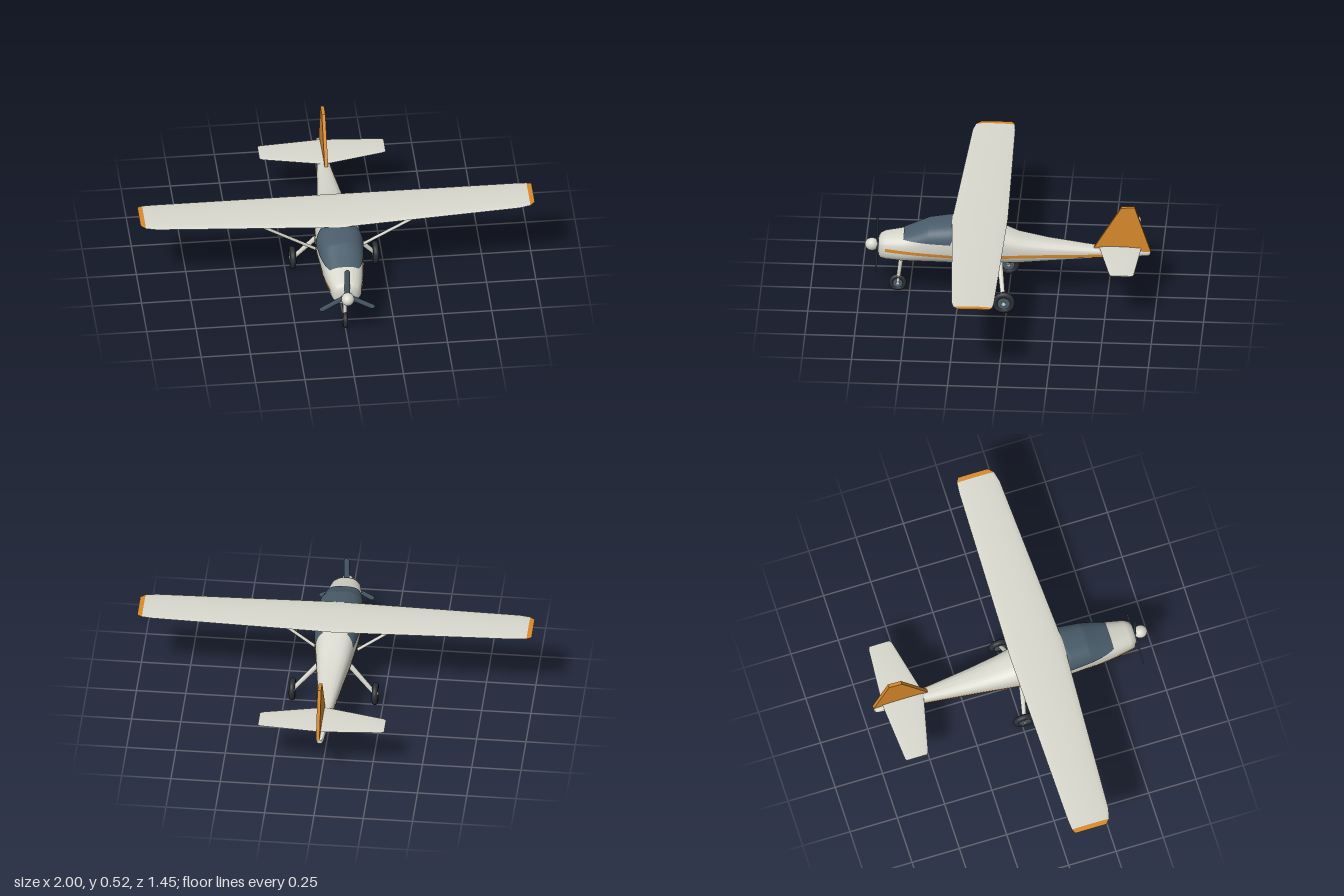
import * as THREE from 'three';
import { toCreasedNormals } from 'three/addons/utils/BufferGeometryUtils.js';

const material = (name, color, side = THREE.FrontSide) => {
  const m = new THREE.MeshStandardMaterial({ color, side });
  m.name = name;
  return m;
};
const lerp = THREE.MathUtils.lerp;

// Fuselage stations from tail to nose: z, bottom, top, half width
const STATIONS = [
  [-0.718, 0.248, 0.268, 0.013], [-0.705, 0.239, 0.275, 0.018], [-0.44, 0.224, 0.284, 0.037],
  [-0.2, 0.207, 0.314, 0.064], [-0.05, 0.196, 0.342, 0.084], [0.06, 0.193, 0.388, 0.1],
  [0.17, 0.193, 0.41, 0.112], [0.29, 0.193, 0.415, 0.117], [0.4, 0.193, 0.398, 0.108],
  [0.46, 0.193, 0.37, 0.102], [0.53, 0.193, 0.34, 0.093], [0.62, 0.196, 0.325, 0.077],
  [0.645, 0.2, 0.316, 0.064], [0.656, 0.21, 0.3, 0.045],
];
const POWER = 2.7;

function sectionAt(z) {
  let i = 0;
  while (i < STATIONS.length - 2 && z > STATIONS[i + 1][0]) i++;
  const a = STATIONS[i], b = STATIONS[i + 1], t = (z - a[0]) / (b[0] - a[0]);
  const bottom = lerp(a[1], b[1], t), top = lerp(a[2], b[2], t);
  return { mid: (bottom + top) / 2, h: (top - bottom) / 2, w: lerp(a[3], b[3], t) };
}

const bulge = (v) => Math.sign(v) * Math.abs(v) ** (2 / POWER);

function hullPoint(z, angle, lift = 0) {
  const s = sectionAt(z);
  return [(s.w + lift) * bulge(Math.cos(angle)), s.mid + (s.h + lift) * bulge(Math.sin(angle)), z];
}

function hullAngle(z, y) {
  const s = sectionAt(z), t = THREE.MathUtils.clamp((y - s.mid) / s.h, -1, 1);
  return Math.asin(Math.sign(t) * Math.abs(t) ** (POWER / 2));
}

function buildGeometry(points, index) {
  const g = new THREE.BufferGeometry();
  g.setAttribute('position', new THREE.Float32BufferAttribute(points.flat(), 3));
  g.setIndex(index);
  g.computeVertexNormals();
  return g;
}

// Closed skin through equal rings, capped at both ends
function loft(rings, crease = 0.6) {
  const n = rings[0].length, points = rings.flat(), index = [];
  for (let i = 0; i < rings.length - 1; i++) {
    for (let j = 0; j < n; j++) {
      const a = i * n + j, b = i * n + (j + 1) % n;
      index.push(a, b, b + n, a, b + n, a + n);
    }
  }
  [[0, true], [rings.length - 1, false]].forEach(([r, flip]) => {
    const center = points.length;
    points.push([0, 1, 2].map((k) => rings[r].reduce((sum, p) => sum + p[k], 0) / n));
    for (let j = 0; j < n; j++) {
      const a = r * n + j, b = r * n + (j + 1) % n;
      index.push(center, flip ? b : a, flip ? a : b);
    }
  });
  return toCreasedNormals(buildGeometry(points, index), crease);
}

// Thin panel lying on the hull; fn(u, v) returns [z, angle]
function hullPanel(fn, nu, nv) {
  const points = [], index = [];
  for (let i = 0; i <= nu; i++) {
    for (let j = 0; j <= nv; j++) {
      points.push(hullPoint(...fn(i / nu, j / nv), 0.004));
      if (i < nu && j < nv) {
        const a = i * (nv + 1) + j, b = a + nv + 1;
        index.push(a, b, a + 1, a + 1, b, b + 1);
      }
    }
  }
  return buildGeometry(points, index);
}

// Aerofoil ring: from the trailing edge over the top to the nose and back below
function foil(x, zTrail, zLead, yTrail, yLead, up, down, n = 10) {
  const ring = [];
  for (let i = 0; i < 2 * n; i++) {
    const a = (i / n) * Math.PI, s = (1 - Math.cos(a)) / 2;
    const shape = 1.9 * Math.sqrt(s) * (1 - s) + 0.0;
    const thick = Math.min(1, 1.35 * Math.sqrt(Math.max(0, 1 - s)) * s ** 0.8 + shape * 0.1);
    ring.push([x, lerp(yTrail, yLead, s) + (i <= n ? up : -down) * thick, lerp(zTrail, zLead, s)]);
  }
  return ring;
}

export function createModel() {
  const model = new THREE.Group();
  model.name = 'lightAircraft';
  const body = material('bodyCream', 0xd8d8ce);
  const accent = material('accentOrange', 0xd98a2b, THREE.DoubleSide);
  const glass = material('slateBlue', 0x4a5d6b, THREE.DoubleSide);
  const rubber = material('tyreBlack', 0x2b2e33);

  const add = (name, geometry, mat, parent = model) => {
    const mesh = new THREE.Mesh(geometry, mat);
    mesh.name = name;
    parent.add(mesh);
    return mesh;
  };
  const rod = (name, from, to, r0, r1) => {
    const a = new THREE.Vector3(...from), b = new THREE.Vector3(...to), d = b.clone().sub(a);
    const mesh = add(name, new THREE.CylinderGeometry(r1, r0, d.length(), 16), body);
    mesh.position.copy(a).addScaledVector(d, 0.5);
    mesh.quaternion.setFromUnitVectors(new THREE.Vector3(0, 1, 0), d.normalize());
  };

  // Fuselage
  const SIDES = 56;
  add('fuselage', loft(STATIONS.map(([z]) =>
    Array.from({ length: SIDES }, (_, j) => hullPoint(z, (j / SIDES) * Math.PI * 2))), 0.9), body);

  // Wraparound windshield with slanted rear pillars
  add('windshield', hullPanel((u, v) => {
    const side = Math.abs(2 * v - 1);
    const z = lerp(0.528, lerp(0.2, 0.29, side), u);
    const low = hullAngle(z, 0.326);
    return [z, lerp(low, Math.PI - low, v)];
  }, 40, 40), glass);

  // Rear side windows and side stripes
  [1, -1].forEach((s) => {
    const label = s > 0 ? 'left' : 'right';
    const toSide = (a) => (s > 0 ? a : Math.PI - a);
    add(label + 'RearWindow', hullPanel((u, v) => {
      const z = lerp(lerp(0.188, 0.168, v), lerp(0.024, 0.058, v), u);
      return [z, toSide(hullAngle(z, lerp(0.321, 0.378, v)))];
    }, 16, 12), glass);
    add(label + 'Stripe', hullPanel((u, v) => {
      const z = lerp(0.62, -0.49, u);
      return [z, toSide(hullAngle(z, lerp(0.268, 0.247, u) + (v - 0.5) * 0.016))];
    }, 70, 4), accent);
  });

  // Tapered wing with coloured tips
  const root = foil(0, 0.003, 0.285, 0.427, 0.418, 0.022, 0.005);
  const outer = (s) => foil(s * 0.92, 0.02, 0.235, 0.438, 0.436, 0.012, 0.004);
  const seam = (s) => foil(s * 0.975, 0.025, 0.222, 0.44, 0.438, 0.009, 0.004);
  const tip = (s) => foil(s, 0.036, 0.198, 0.442, 0.441, 0.004, 0.003);
  add('wing', loft([seam(-1), outer(-1), root, outer(1), seam(1)]), body);
  add('leftWingTip', loft([seam(1), tip(1)]), accent);
  add('rightWingTip', loft([tip(-1), seam(-1)]), accent);

  // Tailplane
  const tailEnd = (s) => foil(s * 0.32, -0.644, -0.535, 0.287, 0.287, 0.004, 0.004);
  const tailOuter = (s) => foil(s * 0.305, -0.65, -0.526, 0.287, 0.287, 0.006, 0.006);
  add('tailplane', loft([tailEnd(-1), tailOuter(-1),
    foil(0, -0.673, -0.455, 0.287, 0.287, 0.01, 0.01), tailOuter(1), tailEnd(1)]), body);

  // Fin
  const finShape = new THREE.Shape([[0.432, 0.283], [0.57, 0.513], [0.638, 0.518], [0.72, 0.268], [0.6, 0.262]]
    .map(([x, y]) => new THREE.Vector2(x, y)));
  add('fin', new THREE.ExtrudeGeometry(finShape, { depth: 0.018, bevelEnabled: false })
    .rotateY(Math.PI / 2), accent);

  // Propeller and spinner
  const propeller = new THREE.Group();
  propeller.name = 'propeller';
  propeller.position.set(0, 0.26, 0.662);
  model.add(propeller);
  for (let i = 0; i < 3; i++) {
    const blade = new THREE.CapsuleGeometry(0.014, 0.125, 6, 16).scale(1, 1, 0.3).translate(0, 0.084, 0);
    add('blade', blade.rotateZ((i * Math.PI * 2) / 3), glass, propeller);
  }
  add('propellerShaft', new THREE.CylinderGeometry(0.018, 0.018, 0.04, 20).rotateX(Math.PI / 2), glass, propeller);
  add('spinner', new THREE.SphereGeometry(0.033, 32, 20).scale(1, 1, 1.08).translate(0, 0, 0.028), body, propeller);

  // Wheels
  const addWheel = (name, x, y, z, r, width) => {
    const wheel = new THREE.Group();
    wheel.name = name;
    wheel.position.set(x, y, z);
    model.add(wheel);
    const disc = (radius, w) => new THREE.CylinderGeometry(radius, radius, w, 28).rotateZ(Math.PI / 2);
    const tube = r * 0.26;
    add('tyre', new THREE.TorusGeometry(r - tube, tube, 16, 40).rotateY(Math.PI / 2)
      .scale(width / (2 * tube), 1, 1), rubber, wheel);
    add('hub', disc(r * 0.55, width * 0.8), glass, wheel);
    add('hubCap', disc(r * 0.16, width * 1.1), body, wheel);
  };
  addWheel('noseWheel', 0, 0.045, 0.56, 0.045, 0.022);
  rod('noseLeg', [0, 0.21, 0.54], [0, 0.05, 0.56], 0.012, 0.01);

  // Main legs and wing braces
  [1, -1].forEach((s) => {
    const label = s > 0 ? 'left' : 'right';
    addWheel(label + 'MainWheel', s * 0.21, 0.058, 0.012, 0.058, 0.03);
    rod(label + 'MainLeg', [s * 0.06, 0.225, 0.042], [s * 0.205, 0.06, 0.014], 0.015, 0.011);
    rod(label + 'WingBrace', [s * 0.105, 0.212, 0.17], [s * 0.43, 0.428, 0.215], 0.008, 0.008);
  });
  return model;
}
